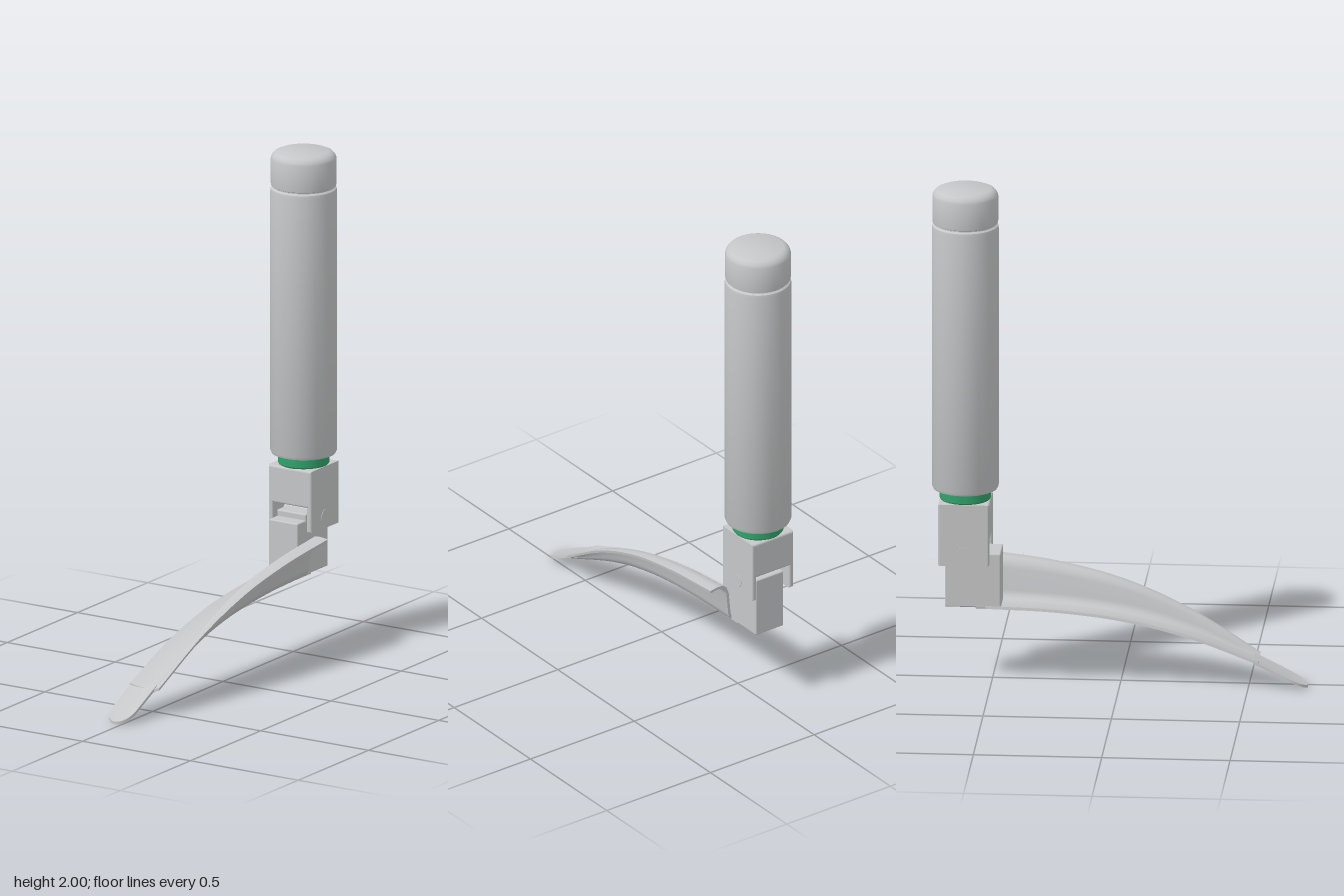
import * as THREE from 'three';
import { toCreasedNormals } from 'three/addons/utils/BufferGeometryUtils.js';
import { RoundedBoxGeometry } from 'three/addons/geometries/RoundedBoxGeometry.js';

const AXIS_X = -0.02, AXIS_Z = -0.605;

// Solid strip lofted along z; each section is { z, line: [[x, y], ...], t: thickness }
function loft(sections) {
  const n = sections[0].line.length, ring = 2 * n, pos = [], idx = [];
  for (const { z, line, t } of sections) {
    const sides = [[], []];
    line.forEach(([x, y], i) => {
      const a = line[Math.max(i - 1, 0)], b = line[Math.min(i + 1, n - 1)];
      const dx = b[0] - a[0], dy = b[1] - a[1], len = Math.hypot(dx, dy) || 1;
      const ox = (-dy / len) * t / 2, oy = (dx / len) * t / 2;
      sides[0].push([x + ox, y + oy, z]);
      sides[1].unshift([x - ox, y - oy, z]);
    });
    pos.push(...sides.flat(2));
  }
  const last = (sections.length - 1) * ring;
  for (let s = 0; s < last; s += ring) {
    for (let j = 0; j < ring; j++) {
      const a = s + j, b = s + (j + 1) % ring;
      idx.push(a, a + ring, b, b, a + ring, b + ring);
    }
  }
  // End caps
  for (let i = 0; i < n - 1; i++) {
    const t0 = i, t1 = i + 1, b0 = ring - 1 - i, b1 = ring - 2 - i;
    idx.push(t0, t1, b0, t1, b1, b0);
    idx.push(last + t0, last + b0, last + t1, last + t1, last + b0, last + b1);
  }
  const g = new THREE.BufferGeometry();
  g.setAttribute('position', new THREE.Float32BufferAttribute(pos, 3));
  g.setIndex(idx);
  return toCreasedNormals(g, 0.7);
}

export function createModel() {
  const model = new THREE.Group();
  model.name = 'laryngoscope';
  const steel = new THREE.MeshStandardMaterial({ color: 0xc6c7c8 });
  steel.name = 'satin steel';
  const green = new THREE.MeshStandardMaterial({ color: 0x2fa36b });
  green.name = 'green ring';

  const add = (name, geometry, material = steel, x = 0, y = 0, z = 0) => {
    const mesh = new THREE.Mesh(geometry, material);
    mesh.name = name;
    mesh.position.set(x, y, z);
    model.add(mesh);
    return mesh;
  };
  const turned = (name, profile, material) => add(name, toCreasedNormals(
    new THREE.LatheGeometry(profile.map(p => new THREE.Vector2(...p)), 64), 0.5),
    material, AXIS_X, 0, AXIS_Z);

  // Handle, end cap and coloured collar
  turned('handle', [[0, 0.78], [0.115, 0.78], [0.125, 0.784], [0.13, 0.795],
    [0.13, 1.84], [0.128, 1.852], [0.121, 1.858], [0, 1.858]]);
  turned('endCap', [[0, 1.85], [0.121, 1.85], [0.121, 1.862], [0.127, 1.865], [0.128, 1.87],
    [0.128, 1.972], [0.124, 1.983], [0.114, 1.994], [0.1, 2], [0, 2]]);
  turned('collar', [[0, 0.735], [0.094, 0.735], [0.1, 0.745], [0.1, 0.775], [0.094, 0.785], [0, 0.785]], green);

  // Forked hinge block, open underneath
  const bevel = 0.008, half = 0.1 - bevel, slot = 0.078 + bevel;
  const fork = new THREE.Shape([[-half, 0.498], [-slot, 0.498], [-slot, 0.598], [slot, 0.598],
    [slot, 0.498], [half, 0.498], [half, 0.732], [-half, 0.732]].map(p => new THREE.Vector2(...p)));
  add('hingeBlock', new THREE.ExtrudeGeometry(fork, {
    depth: 0.2 - 2 * bevel, bevelSize: bevel, bevelThickness: bevel, bevelSegments: 3,
  }), steel, AXIS_X, 0, AXIS_Z - half);

  // Hinge pin, ends just proud of the cheeks
  const pin = add('hingePin', new THREE.CylinderGeometry(0.027, 0.027, 0.204, 32), steel, AXIS_X, 0.54, AXIS_Z);
  pin.rotation.z = Math.PI / 2;

  // Blade base that sits in the fork, with its front lug
  add('bladeBase', new RoundedBoxGeometry(0.135, 0.245, 0.16, 3, 0.006), steel, -0.022, 0.4375, -0.6);
  add('bladeLug', new RoundedBoxGeometry(0.135, 0.225, 0.1, 3, 0.006), steel, -0.022, 0.4225, -0.512);

  // Curved blade: [z, floor y, crest y, left x, wall x, lip x]
  const stations = [
    [-0.52, 0.308, 0.48, -0.1, 0.068, 0.146],
    [-0.255, 0.298, 0.446, -0.097, 0.066, 0.136],
    [0.01, 0.266, 0.382, -0.092, 0.062, 0.116],
    [0.275, 0.2, 0.27, -0.088, 0.057, 0.087],
    [0.54, 0.1, 0.11, -0.085, 0.048, 0.055],
  ];
  const spline = cols => new THREE.CatmullRomCurve3(
    stations.map(s => new THREE.Vector3(...cols.map(c => s[c]))), false, 'catmullrom');
  const heights = spline([0, 1, 2]), widths = spline([3, 4, 5]);
  const blade = [];
  for (let i = 0; i <= 32; i++) {
    const { x: z, y: floor, z: crest } = heights.getPoint(i / 32);
    const { x: xl, y: wall, z: lip } = widths.getPoint(i / 32);
    const h = crest - floor, r = Math.min(0.045, h * 0.5), line = [];
    // Shallow floor
    for (let k = 0; k < 5; k++) {
      const u = k / 4;
      line.push([THREE.MathUtils.lerp(xl + 0.004, wall - 0.012 - r, u), floor + 0.01 * (1 - u) ** 3]);
    }
    // Rounded corner into the wall
    for (let k = 1; k <= 5; k++) {
      const a = k / 5 * 1.4;
      line.push([wall - 0.012 - r + r * Math.sin(a), floor + r * (1 - Math.cos(a))]);
    }
    // Wall crest and outward lip
    const out = lip - wall;
    line.push([wall - 0.004, floor + h * 0.75], [wall + out * 0.08, crest - h * 0.1],
      [wall + out * 0.28, crest - h * 0.035], [wall + out * 0.6, crest - h * 0.03], [lip, crest - h * 0.06]);
    blade.push({ z, line, t: 0.011 });
  }
  add('blade', loft(blade));

  // Rounded blade tip
  const tip = [];
  for (let i = 0; i <= 16; i++) {
    const z = 0.52 + 0.21 * Math.sin(i / 16 * Math.PI / 2);
    const u = Math.max(0, (z - 0.655) / 0.0765);
    const w = THREE.MathUtils.lerp(0.058, 0.053, (z - 0.52) / 0.21) * Math.sqrt(1 - u * u);
    const y = 0.1 - (z - 0.54) * 0.5 + 0.0045 * u * u;
    tip.push({ z, t: 0.011, line: [-1, -0.5, 0, 0.5, 1].map(k => [-0.026 + k * w, y + 0.004 * k * k * (1 - u)]) });
  }
  add('bladeTip', loft(tip));

  return model;
}
